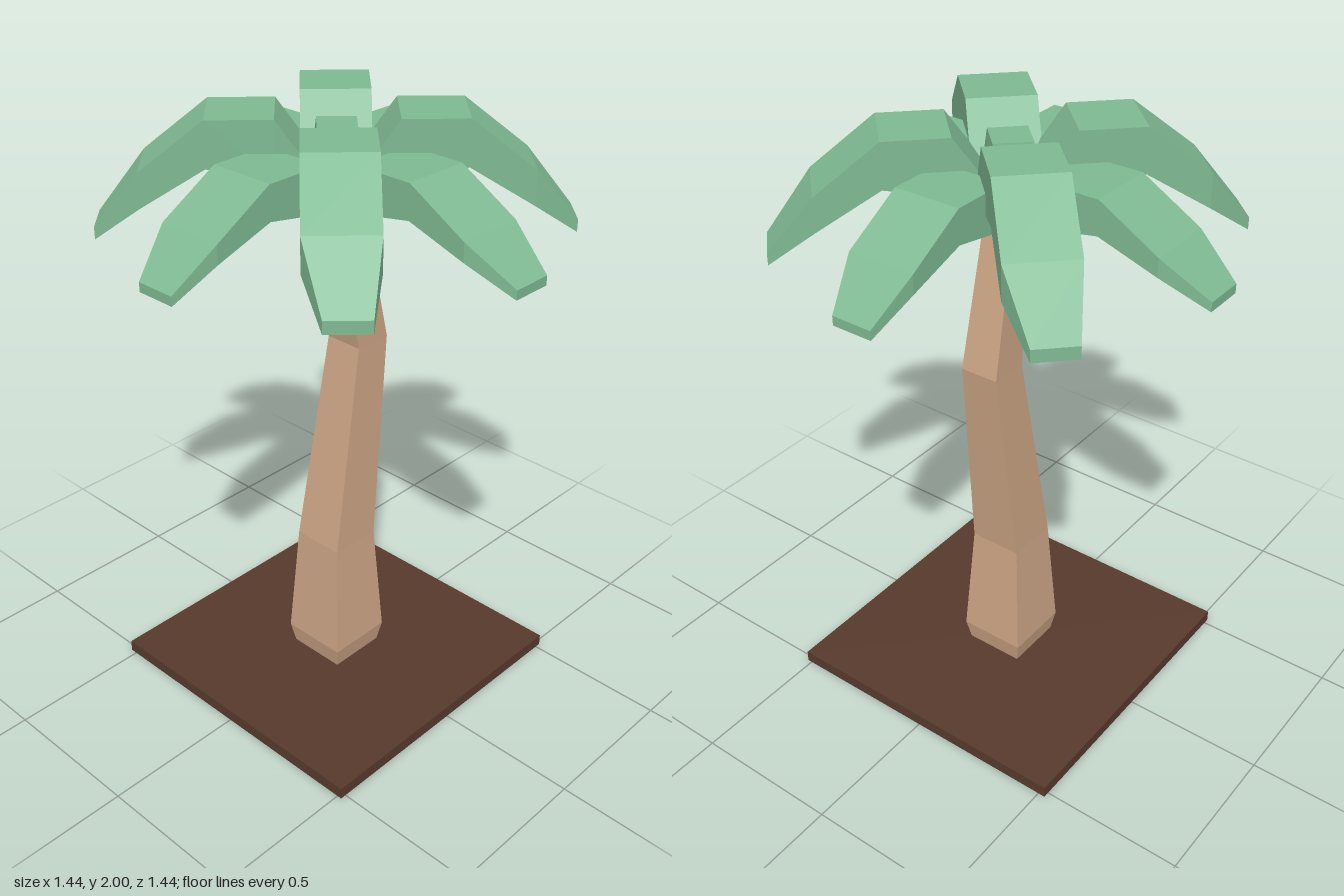
import * as THREE from 'three';

// Closed surface through four-cornered sections; corners run counterclockwise seen from the far end
function loft(sections) {
  const pos = [];
  const quad = (a, b, c, d) => [a, b, c, a, c, d].forEach((p) => pos.push(...p));
  for (let s = 0; s < sections.length - 1; s++) {
    const a = sections[s], b = sections[s + 1];
    for (let i = 0; i < 4; i++) {
      const j = (i + 1) % 4;
      quad(a[i], a[j], b[j], b[i]);
    }
  }
  const first = sections[0], last = sections[sections.length - 1];
  quad(first[3], first[2], first[1], first[0]);
  quad(...last);
  const geometry = new THREE.BufferGeometry();
  geometry.setAttribute('position', new THREE.Float32BufferAttribute(pos, 3));
  geometry.computeVertexNormals();
  return geometry;
}

// Square trunk section: height, centre z, half width
const trunkSection = ([y, cz, h]) =>
  [[-1, 1], [1, 1], [1, -1], [-1, -1]].map(([x, z]) => [x * h - 0.003, y, cz + z * h]);

// Leaf section: distance out, underside y, top y, half width, sideways shift
const leafSection = ([r, lo, hi, w, dx = 0]) =>
  [[dx - w, lo, r], [dx + w, lo, r], [dx + w, hi, r], [dx - w, hi, r]];

export function createModel() {
  const group = new THREE.Group();
  const material = (color) => new THREE.MeshStandardMaterial({ color, flatShading: true });
  const green = material(0x7fba93);
  const add = (name, geometry, mat) => {
    const mesh = new THREE.Mesh(geometry, mat);
    mesh.name = name;
    group.add(mesh);
    return mesh;
  };

  // Square ground slab
  add('groundSlab', new THREE.BoxGeometry(1.04, 0.04, 1.04), material(0x573a2d)).position.set(-0.004, 0.02, 0);

  // Bent, tapering trunk
  const trunk = [
    [0.03, 0, 0.1], [0.11, 0, 0.115], [0.51, 0, 0.09],
    [1.225, -0.1, 0.066], [1.64, -0.021, 0.055], [1.78, 0.004, 0.05],
  ];
  add('trunk', loft(trunk.map(trunkSection)), material(0xcca585));

  // Drooping leaves: a low ring on the axes and a higher ring on the diagonals
  const lowLeaf = loft([
    [0.07, 1.72, 1.8, 0.1], [0.18, 1.755, 1.9, 0.112], [0.38, 1.79, 1.9, 0.112],
    [0.577, 1.725, 1.785, 0.112], [0.718, 1.64, 1.67, 0.067, 0.013],
  ].map(leafSection));
  const highLeaf = loft([
    [0.07, 1.74, 1.845, 0.108], [0.18, 1.82, 2, 0.108], [0.38, 1.855, 2, 0.108],
    [0.577, 1.735, 1.845, 0.108], [0.718, 1.63, 1.67, 0.067, 0.013],
  ].map(leafSection));
  for (let i = 0; i < 8; i++) {
    const high = i % 2 === 1;
    add(high ? 'upperLeaf' : 'lowerLeaf', high ? highLeaf : lowLeaf, green).rotation.y = (i * Math.PI) / 4;
  }

  // Four-sided bud in the middle of the crown
  add('crownBud', new THREE.CylinderGeometry(0.085, 0.12, 0.21, 4), green).position.y = 1.85;

  return group;
}
